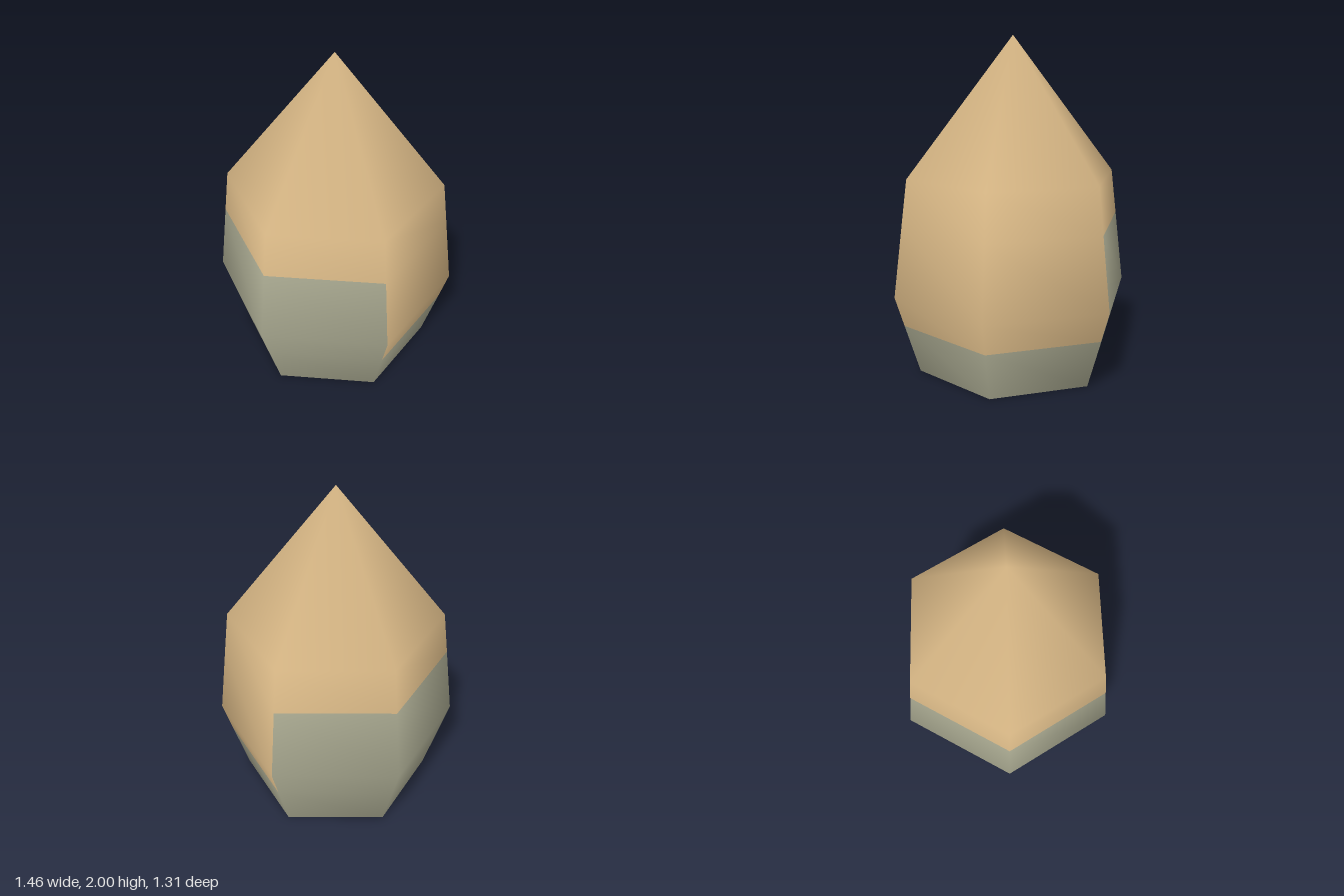
import * as THREE from 'three';

export function createModel() {
  const model = new THREE.Group();
  const tan = new THREE.MeshStandardMaterial({ name: 'tan', color: 0xd4b483 });
  const grey = new THREE.MeshStandardMaterial({ name: 'greyGreen', color: 0xa5a58d });

  // Six-sided shell; the extra rows at 0.295 and 0.91 are the colour borders
  const sides = 6;
  const turn = THREE.MathUtils.degToRad(3.4);
  const profile = [
    [0.587, 0], [0.678, 0.295], [0.733, 0.475], [0.679, 0.91], [0.645, 1.18], [0, 2],
  ].map(([r, y]) => new THREE.Vector2(r, y));
  const rows = profile.length - 1;
  const shell = new THREE.LatheGeometry(profile, sides, turn - Math.PI / 6, Math.PI * 2);

  // Blend normals over the border rows so the shading ignores them; the tip points up
  const normals = shell.attributes.normal;
  const a = new THREE.Vector3(), b = new THREE.Vector3();
  for (let i = 0; i <= sides; i++) {
    const first = i * (rows + 1);
    for (const j of [1, 3]) {
      const t = (profile[j].y - profile[j - 1].y) / (profile[j + 1].y - profile[j - 1].y);
      a.fromBufferAttribute(normals, first + j - 1);
      b.fromBufferAttribute(normals, first + j + 1);
      a.lerp(b, t).normalize();
      normals.setXYZ(first + j, a.x, a.y, a.z);
    }
    normals.setXYZ(first + rows, 0, 1, 0);
  }

  // Tan top all round, reaching lower on the two front faces
  shell.clearGroups();
  for (let i = 0; i < sides; i++) {
    for (let j = 0; j < rows; j++) {
      const isTan = j >= 3 || (j >= 1 && i < 2);
      shell.addGroup((i * rows + j) * 6, 6, isTan ? 0 : 1);
    }
  }
  // The sides are angled so the first corner lies at the front, just right of centre
  shell.rotateY(-(turn - Math.PI / 6) + THREE.MathUtils.degToRad(-26.6));
  const body = new THREE.Mesh(shell, [tan, grey]);
  body.name = 'pointedBody';
  model.add(body);

  // Flat underside
  const cap = new THREE.CircleGeometry(profile[0].x, sides, -turn);
  cap.rotateX(Math.PI / 2);
  const underside = new THREE.Mesh(cap, grey);
  underside.name = 'underside';
  model.add(underside);

  return model;
}
